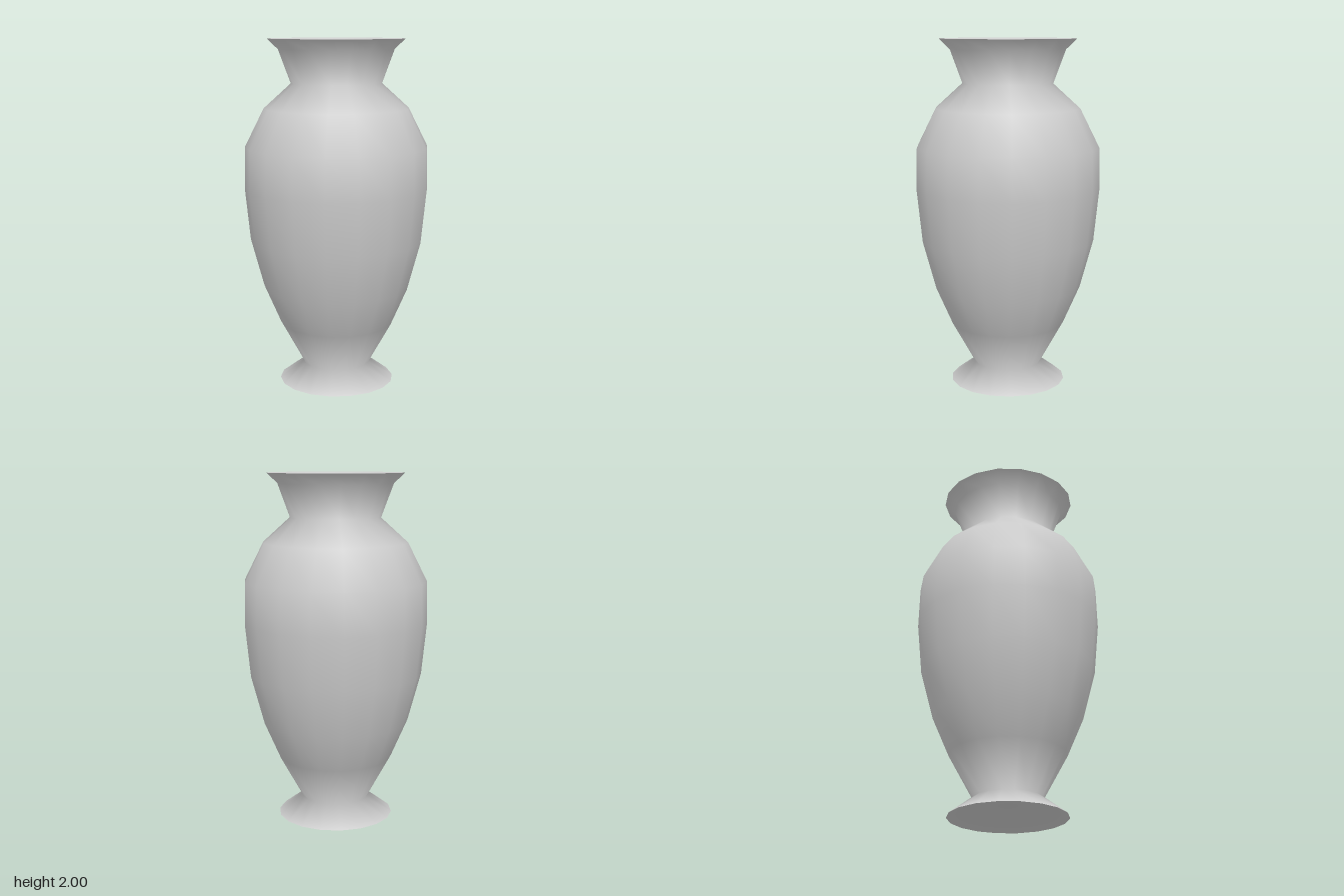
import * as THREE from 'three';

const SIDES = 18;

// Profiles are [radius, height], each listed so that faces point away from the clay
const profiles = {
  // slightly hollow underside
  base: [[0, 0.07], [0.17, 0.06], [0.335, 0]],
  // foot, belly, shoulder, neck and flared mouth
  outerWall: [
    [0.335, 0], [0.195, 0.105], [0.33, 0.35], [0.425, 0.57], [0.5, 0.85], [0.53, 1.15],
    [0.525, 1.39], [0.415, 1.61], [0.26, 1.75], [0.33, 1.94], [0.392, 2],
  ],
  // lip, inside of the neck and the hollow inside
  innerWall: [
    [0.392, 2], [0.33, 1.99], [0.305, 1.93], [0.26, 1.79], [0.243, 1.74], [0.39, 1.59], [0.495, 1.38],
    [0.5, 1.15], [0.47, 0.86], [0.395, 0.58], [0.3, 0.36], [0.16, 0.15], [0, 0.12],
  ],
};

export function createModel() {
  const vase = new THREE.Group();
  vase.name = 'vase';
  const material = new THREE.MeshStandardMaterial({ color: 0xcccccc });

  for (const [name, profile] of Object.entries(profiles)) {
    const points = profile.map(([r, y]) => new THREE.Vector2(r, y));
    // start on the x axis so that corners lie at the left and right
    const geometry = new THREE.LatheGeometry(points, SIDES, Math.PI / 2);
    const mesh = new THREE.Mesh(geometry, material);
    mesh.name = name;
    vase.add(mesh);
  }
  return vase;
}
